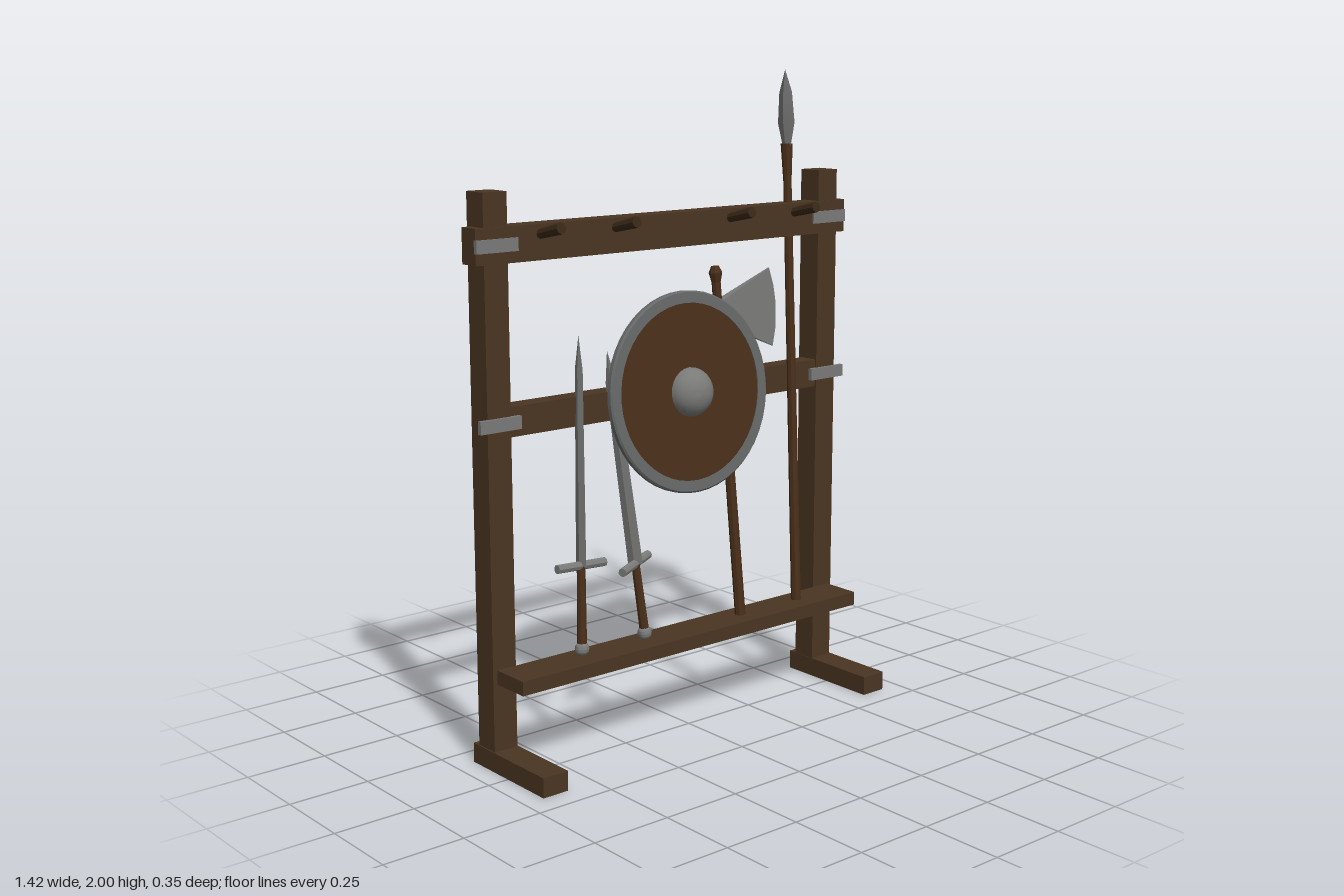
import * as THREE from 'three';
import { toCreasedNormals } from 'three/addons/utils/BufferGeometryUtils.js';

const mat = (name, color) => {
  const m = new THREE.MeshStandardMaterial({ color });
  m.name = name;
  return m;
};

export function createModel() {
  const frameWood = mat('frame wood', 0x4a3522);
  const haftWood = mat('haft wood', 0x4a2f1a);
  const darkWood = mat('dark peg wood', 0x3a2817);
  const steel = mat('steel', 0x7a7a79);
  const rimSteel = mat('rim steel', 0x666868);

  const model = new THREE.Group();
  model.name = 'weaponRack';

  const add = (parent, name, geo, material, crease = 0.6) => {
    const mesh = new THREE.Mesh(toCreasedNormals(geo, crease), material);
    mesh.name = name;
    parent.add(mesh);
    return mesh;
  };
  // Box given by its low and high corners
  const box = (name, [x0, y0, z0], [x1, y1, z1], material) =>
    add(model, name, new THREE.BoxGeometry(x1 - x0, y1 - y0, z1 - z0)
      .translate((x0 + x1) / 2, (y0 + y1) / 2, (z0 + z1) / 2), material);
  // Tapered round bar standing between two heights
  const bar = (r0, r1, y0, y1, sides = 8) =>
    new THREE.CylinderGeometry(r1, r0, y1 - y0, sides).translate(0, (y0 + y1) / 2, 0);
  const lathe = (points, sides) =>
    new THREE.LatheGeometry(points.map(([r, y]) => new THREE.Vector2(r, y)), sides);
  // Group whose local +y runs from a to b, rolled about that line
  const leaning = (name, a, b, roll = 0) => {
    const g = new THREE.Group();
    g.name = name;
    const from = new THREE.Vector3(...a);
    const dir = new THREE.Vector3(...b).sub(from);
    g.position.copy(from);
    g.quaternion.setFromUnitVectors(new THREE.Vector3(0, 1, 0), dir.clone().normalize());
    g.rotateY(roll);
    g.userData.length = dir.length();
    model.add(g);
    return g;
  };

  // Frame: posts, feet and straps on both sides
  for (const s of [-1, 1]) {
    const side = s > 0 ? 'left' : 'right';
    const span = (a, b) => (s > 0 ? [a, b] : [-b, -a]);
    const [p0, p1] = span(0.6, 0.68);
    box(side + 'Post', [p0, 0.03, -0.15], [p1, 1.685, -0.07], frameWood);
    const [f0, f1] = span(0.598, 0.684);
    box(side + 'Foot', [f0, 0, -0.174], [f1, 0.06, 0.176], frameWood);
    const [s0, s1] = span(0.57, 0.71);
    for (const y of [1.03, 1.537])
      box(side + 'Strap', [s0, y - 0.019, -0.073], [s1, y + 0.019, -0.059], steel);
  }
  box('topRail', [-0.71, 1.485, -0.132], [0.71, 1.588, -0.065], frameWood);
  box('middleRail', [-0.63, 0.987, -0.135], [0.63, 1.075, -0.075], frameWood);
  box('shelf', [-0.665, 0.265, -0.07], [0.665, 0.308, 0.058], frameWood);

  // Pegs, tilted slightly upward
  for (const x of [-0.49, -0.222, 0.222, 0.49]) {
    const peg = leaning('peg', [x, 1.555, -0.09], [x, 1.583, 0.034]);
    add(peg, 'pegBar', bar(0.014, 0.017, 0, peg.userData.length), darkWood);
  }

  // Round shield
  const shield = new THREE.Group();
  shield.name = 'shield';
  shield.position.set(0, 1.055, 0);
  shield.rotation.x = -0.115;
  model.add(shield);
  const faceFront = (geo) => geo.rotateX(Math.PI / 2);
  add(shield, 'shieldBoard',
    faceFront(new THREE.CylinderGeometry(0.288, 0.288, 0.022, 48)), haftWood);
  add(shield, 'shieldRim', faceFront(lathe(
    [[0.268, -0.01], [0.3, -0.01], [0.305, -0.004], [0.305, 0.01], [0.3, 0.015], [0.268, 0.015], [0.268, -0.01]], 48)),
  rimSteel);
  add(shield, 'shieldBoss', faceFront(
    new THREE.SphereGeometry(0.075, 24, 8, 0, Math.PI * 2, 0, Math.PI / 2).scale(1, 0.8, 1))
    .translate(0, 0, 0.009), steel);

  // Swords
  const sword = (a, b, guardY, roll) => {
    const g = leaning('sword', a, b, roll);
    const len = g.userData.length;
    add(g, 'pommel', new THREE.SphereGeometry(0.022, 12, 8), steel);
    add(g, 'grip', bar(0.015, 0.013, 0, guardY), haftWood);
    add(g, 'guard', new THREE.CylinderGeometry(0.0135, 0.0135, 0.175, 8)
      .rotateZ(Math.PI / 2).translate(0, guardY, 0), steel);
    add(g, 'blade', lathe([[0, guardY], [0.025, guardY], [0.019, len - 0.1], [0, len]], 4)
      .scale(0.3, 1, 1), steel, 0.2);
  };
  sword([-0.4, 0.33, -0.015], [-0.355, 1.255, -0.075], 0.25, 0);
  sword([-0.165, 0.33, -0.012], [-0.255, 1.2, -0.07], 0.22, 0.44);

  // Axe with a blade that thins toward its edge
  const axe = leaning('axe', [0.222, 0.308, -0.01], [0.166, 1.415, -0.072]);
  const axeLen = axe.userData.length;
  add(axe, 'axeHaft', bar(0.017, 0.014, 0, axeLen - 0.03), haftWood);
  add(axe, 'axeHaftEnd', lathe(
    [[0, axeLen - 0.05], [0.014, axeLen - 0.05], [0.021, axeLen - 0.02], [0.012, axeLen], [0, axeLen]], 8),
  haftWood);
  const outline = [[0, 0.926], [0.016, 0.926], [0.212, 0.83], [0.231, 0.89], [0.238, 0.96],
    [0.233, 1.02], [0.219, 1.076], [0.016, 1.006], [0, 1.006]];
  const bladeGeo = new THREE.ExtrudeGeometry(
    new THREE.Shape(outline.map(([x, y]) => new THREE.Vector2(x, y))),
    { depth: 1, bevelEnabled: false });
  const p = bladeGeo.attributes.position;
  for (let i = 0; i < p.count; i++)
    p.setZ(i, (p.getZ(i) - 0.5) * (0.034 - 0.125 * p.getX(i)));
  add(axe, 'axeBlade', bladeGeo, steel);

  // Spear
  const spear = leaning('spear', [0.465, 0.308, -0.01], [0.512, 2, -0.137]);
  const spearLen = spear.userData.length;
  add(spear, 'spearShaft', bar(0.016, 0.013, 0, spearLen - 0.28), haftWood);
  add(spear, 'spearSocket', bar(0.014, 0.019, spearLen - 0.33, spearLen - 0.23), haftWood);
  add(spear, 'spearHead', lathe(
    [[0, -0.24], [0.018, -0.24], [0.038, -0.165], [0.029, -0.07], [0, 0]]
      .map(([r, y]) => [r, spearLen + y]), 4).scale(0.35, 1, 1), steel, 0.2);

  return model;
}
